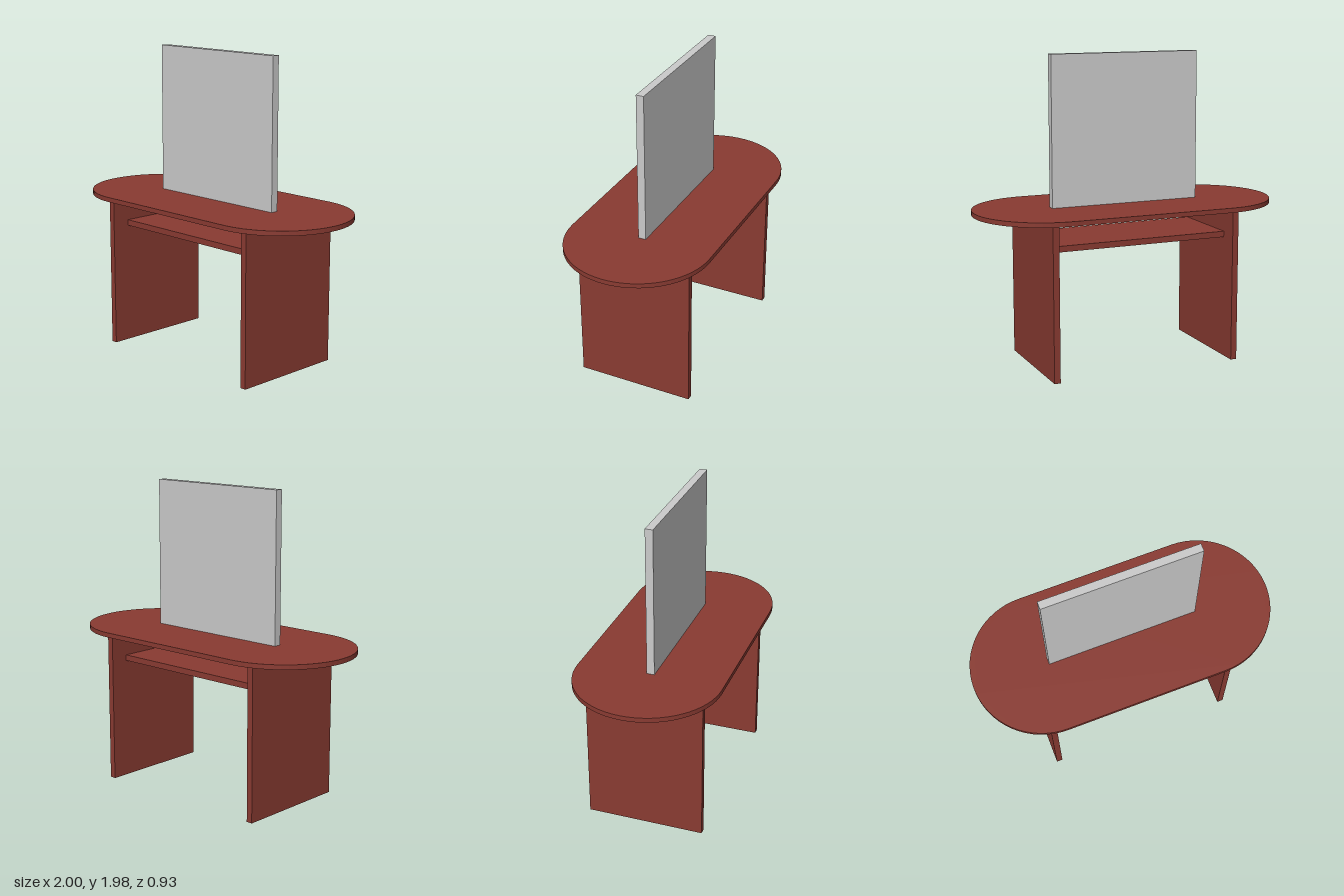
import * as THREE from 'three';

export function createModel() {
  const model = new THREE.Group();
  const wood = new THREE.MeshStandardMaterial({ color: 0x8a3b32 });
  const grey = new THREE.MeshStandardMaterial({ color: 0xcccccc });

  const addPart = (name, geometry, material, x, y, z) => {
    const mesh = new THREE.Mesh(geometry, material);
    mesh.name = name;
    mesh.position.set(x, y, z);
    model.add(mesh);
    return mesh;
  };

  // Table top: a stadium outline, two half circles joined by straight sides
  const radius = 0.467, reach = 1 - radius, bottom = 0.99, thickness = 0.03;
  const outline = new THREE.Shape();
  outline.absarc(reach, 0, radius, -Math.PI / 2, Math.PI / 2, false);
  outline.absarc(-reach, 0, radius, Math.PI / 2, Math.PI * 1.5, false);
  outline.closePath();
  const topGeometry = new THREE.ExtrudeGeometry(outline, {
    depth: thickness, bevelEnabled: false, curveSegments: 16,
  });
  topGeometry.rotateX(-Math.PI / 2);
  addPart('tableTop', topGeometry, wood, 0, bottom, 0);

  // Solid slab legs
  for (const [name, side] of [['leftLeg', 1], ['rightLeg', -1]]) {
    addPart(name, new THREE.BoxGeometry(0.04, bottom, 0.76), wood, side * 0.61, bottom / 2, 0);
  }

  // Shelf between the legs
  addPart('shelf', new THREE.BoxGeometry(1.18, 0.038, 0.52), wood, 0, 0.81, 0);

  // Upright panel standing on the top
  addPart('uprightPanel', new THREE.BoxGeometry(1, 0.96, 0.05), grey, 0, 1.5, 0);

  return model;
}
